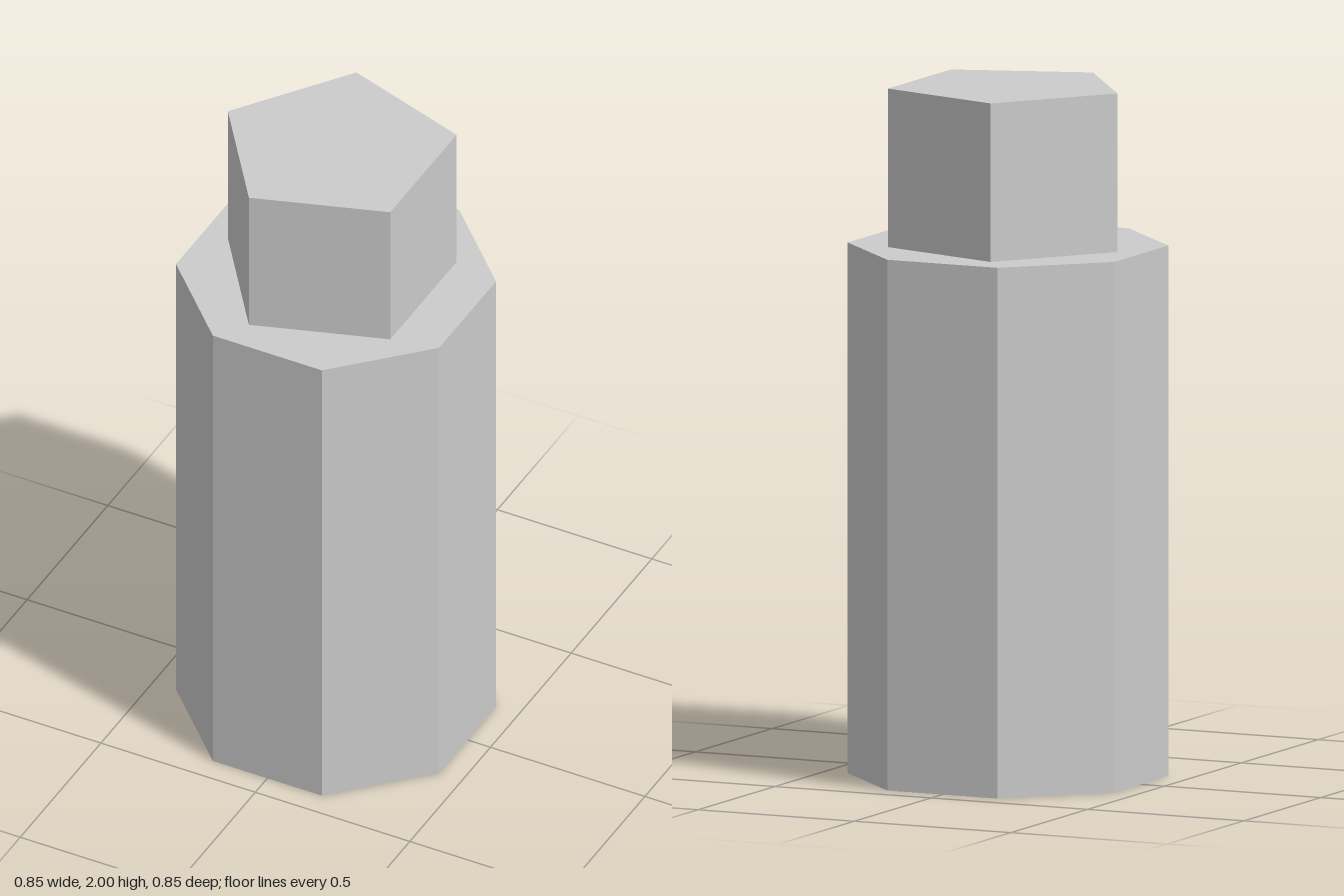
import * as THREE from 'three';

const material = new THREE.MeshStandardMaterial({ color: 0xcccccc, flatShading: true });

// Upright prism with its base at y = bottom and its first corner at angle start
function prism(name, radius, bottom, top, sides, start) {
  const geometry = new THREE.CylinderGeometry(radius, radius, top - bottom, sides, 1, false, start);
  const mesh = new THREE.Mesh(geometry, material);
  mesh.name = name;
  mesh.position.y = (bottom + top) / 2;
  return mesh;
}

export function createModel() {
  const group = new THREE.Group();
  group.name = 'bottle';
  // Eight-sided body
  group.add(prism('body', 0.461, 0, 1.54, 8, Math.PI / 8));
  // Five-sided cap with one corner pointing to -x
  group.add(prism('cap', 0.35, 1.54, 2, 5, -Math.PI / 2));
  return group;
}
